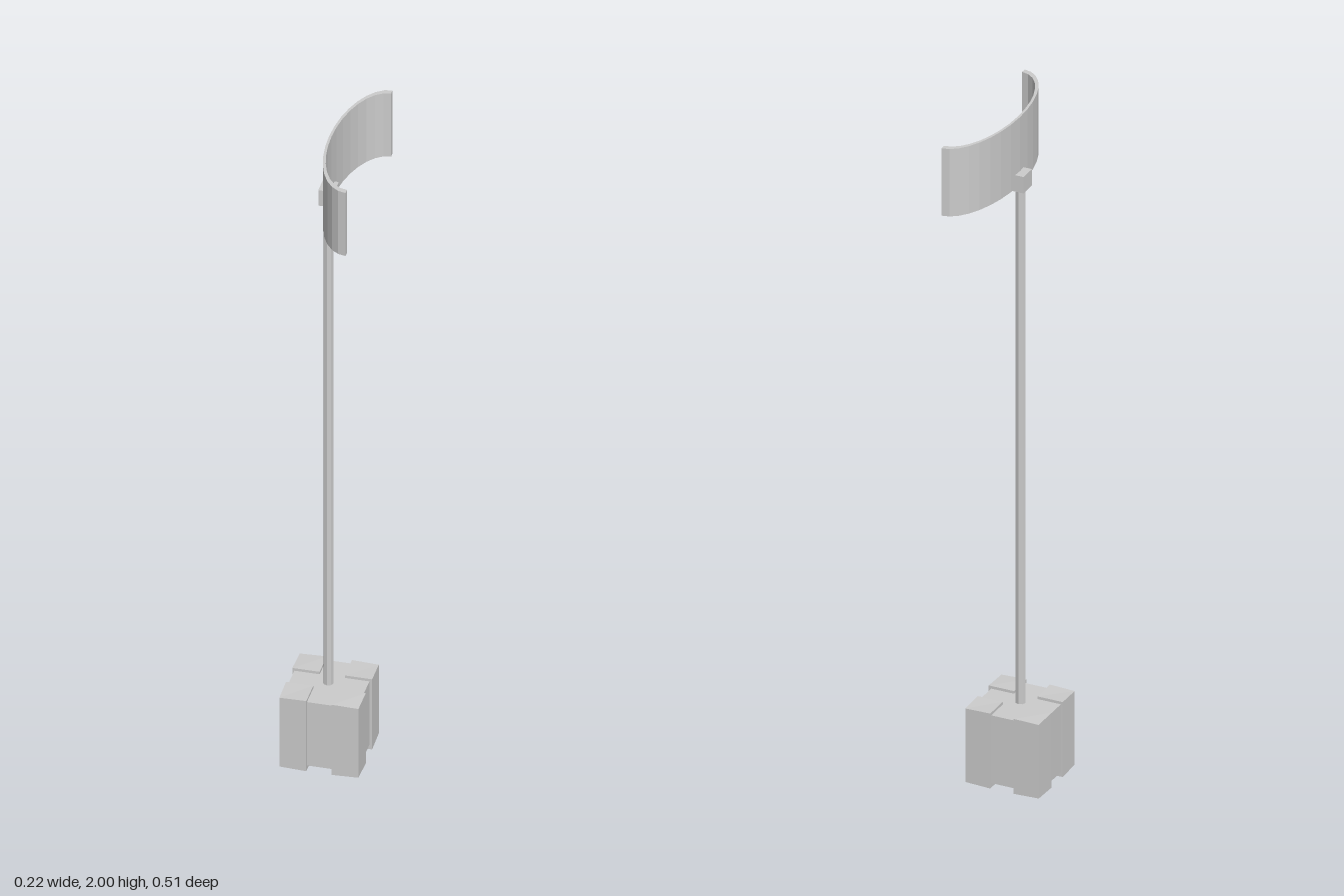
import * as THREE from 'three';

const material = new THREE.MeshStandardMaterial({ color: 0xcccccc, flatShading: true });

function addMesh(parent, name, geometry, x, y, z) {
  const mesh = new THREE.Mesh(geometry, material);
  mesh.name = name;
  mesh.position.set(x, y, z);
  parent.add(mesh);
  return mesh;
}

// Curved panel: a half-elliptic strip, open toward +x, extruded upward
function panelGeometry(depth, halfWidth, height) {
  const segments = 16;
  const arc = (rx, rz) => Array.from({ length: segments + 1 }, (_, i) => {
    const a = -Math.PI / 2 + (i / segments) * Math.PI;
    return new THREE.Vector2(depth - rx * Math.cos(a), rz * Math.sin(a));
  });
  const outline = [...arc(depth, halfWidth), ...arc(depth - 0.007, halfWidth - 0.016).reverse()];
  const geometry = new THREE.ExtrudeGeometry(new THREE.Shape(outline), { depth: height, bevelEnabled: false });
  return geometry.rotateX(-Math.PI / 2);
}

// Corner block whose outermost edge is drawn in very slightly
function blockGeometry(sx, sz) {
  const geometry = new THREE.BoxGeometry(0.076, 0.228, 0.077);
  const p = geometry.attributes.position;
  for (let i = 0; i < p.count; i++) {
    if (p.getX(i) * sx > 0 && p.getZ(i) * sz > 0) {
      p.setX(i, p.getX(i) - sx * 0.001);
      p.setZ(i, p.getZ(i) - sz * 0.001);
      p.setY(i, p.getY(i) * 0.98);
    }
  }
  geometry.computeVertexNormals();
  return geometry;
}

export function createModel() {
  const model = new THREE.Group();
  model.name = 'floorLamp';

  // Base: recessed core with four proud corner blocks
  const base = new THREE.Group();
  base.name = 'base';
  model.add(base);
  addMesh(base, 'baseCore', new THREE.BoxGeometry(0.209, 0.206, 0.21), -0.001, 0.119, -0.001);
  for (const sx of [-1, 1]) {
    for (const sz of [-1, 1]) {
      addMesh(base, 'cornerBlock', blockGeometry(sx, sz), sx * 0.073, 0.116, sz * 0.073);
    }
  }

  // Upright pole
  addMesh(model, 'pole', new THREE.CylinderGeometry(0.014, 0.014, 1.59, 8), -0.002, 1.005, -0.001);

  // Clamp and curved panel
  addMesh(model, 'clamp', new THREE.BoxGeometry(0.044, 0.05, 0.052), -0.002, 1.811, -0.002);
  addMesh(model, 'curvedPanel', panelGeometry(0.111, 0.256, 0.205), 0, 1.795, -0.001);

  return model;
}
